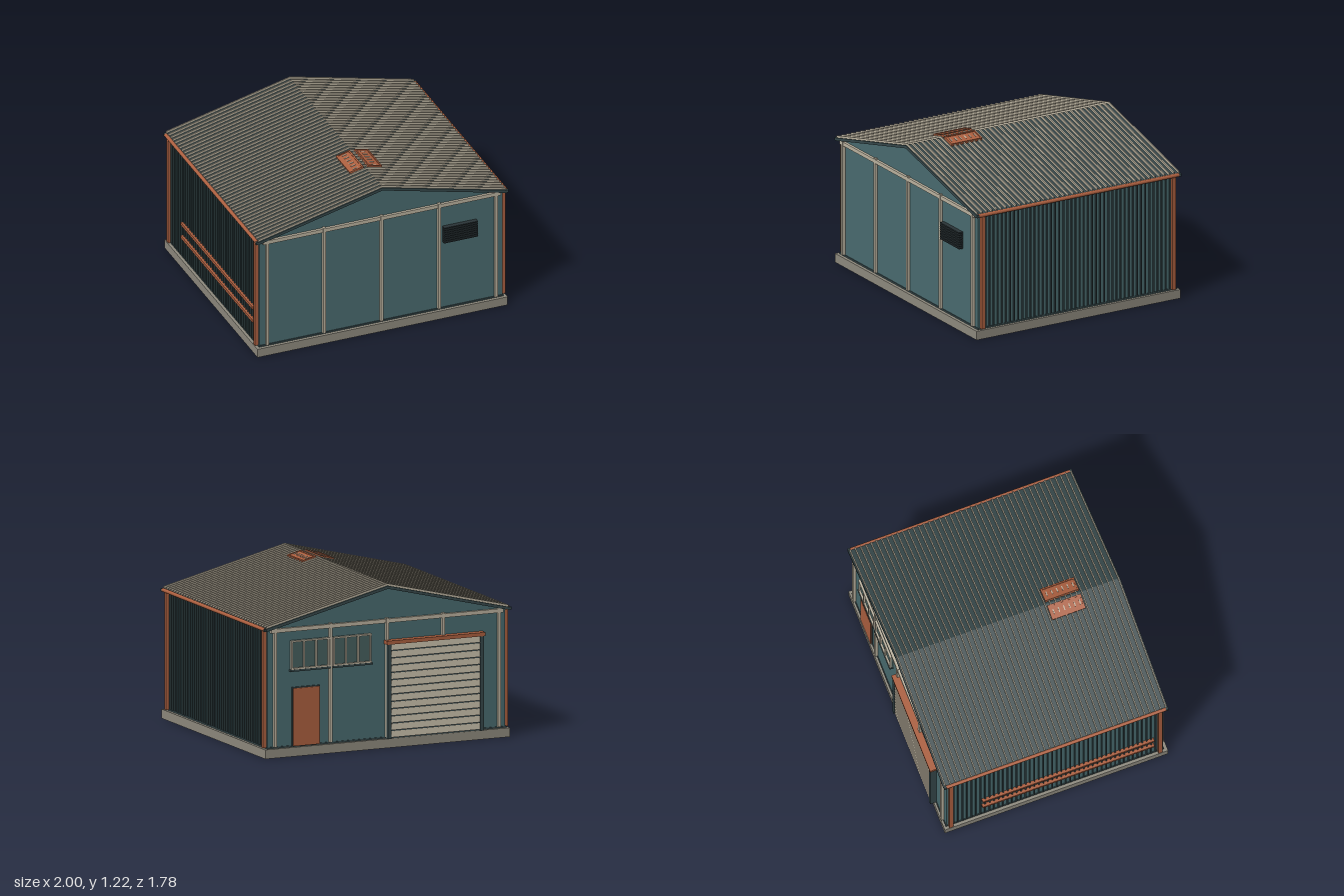
import * as THREE from 'three';

const paint = (name, color) => {
  const m = new THREE.MeshStandardMaterial({ color });
  m.name = name;
  return m;
};

export function createModel() {
  const teal = paint('teal cladding', 0x4a6c70);
  const dark = paint('dark slate', 0x36484b);
  const rust = paint('rust trim', 0xad6040);
  const beige = paint('beige steel', 0xbdb4a1);
  const concrete = paint('concrete', 0x8f8b7f);
  const black = paint('louvre charcoal', 0x2a3437);
  const glass = paint('window glass', 0x47605f);

  const model = new THREE.Group();
  model.name = 'warehouse';

  // Box given by its minimum and maximum on each axis
  const box = (name, mat, x0, x1, y0, y1, z0, z1, parent = model) => {
    const mesh = new THREE.Mesh(new THREE.BoxGeometry(x1 - x0, y1 - y0, z1 - z0), mat);
    mesh.position.set((x0 + x1) / 2, (y0 + y1) / 2, (z0 + z1) / 2);
    mesh.name = name;
    parent.add(mesh);
    return mesh;
  };
  const group = (name) => {
    const g = new THREE.Group();
    g.name = name;
    model.add(g);
    return g;
  };
  // Polygon in the xy plane, extruded from z0 to z1
  const prism = (name, mat, points, z0, z1, parent = model) => {
    const shape = new THREE.Shape(points.map(([x, y]) => new THREE.Vector2(x, y)));
    const geo = new THREE.ExtrudeGeometry(shape, { depth: z1 - z0, bevelEnabled: false });
    geo.translate(0, 0, z0);
    const mesh = new THREE.Mesh(geo, mat);
    mesh.name = name;
    parent.add(mesh);
    return mesh;
  };

  const APEX = 1.205, SLOPE = 0.244, EAVE = 0.985;
  const FRONT = 0.855, BACK = -0.835, SIDE = 0.962;
  const roofY = (x) => APEX - SLOPE * Math.abs(x);
  // Band following both roof slopes, between two offsets from the roof surface
  const chevron = (w, low, high) => [
    [-w, roofY(w) + low], [0, APEX + low], [w, roofY(w) + low],
    [w, roofY(w) + high], [0, APEX + high], [-w, roofY(w) + high],
  ];

  // Slab, base flashing and gabled body
  box('slab', concrete, -0.99, 0.99, 0, 0.068, -0.857, 0.885);
  box('baseFlashing', dark, -0.968, 0.968, 0.068, 0.08, BACK - 0.006, FRONT + 0.006);
  prism('body', teal, [
    [-SIDE, 0.068], [SIDE, 0.068], [SIDE, roofY(SIDE) - 0.01],
    [0, APEX - 0.01], [-SIDE, roofY(SIDE) - 0.01],
  ], BACK, FRONT);

  // Ribbed side cladding
  const cladding = group('sideCladding');
  for (const s of [-1, 1]) {
    for (let i = 0; i < 46; i++) {
      const z = -0.78 + i * 0.035;
      if (z > 0.8) break;
      const x0 = s > 0 ? SIDE : -SIDE - 0.01;
      box('claddingRib', dark, x0, x0 + 0.01, 0.08, 0.945, z - 0.005, z + 0.005, cladding);
    }
  }

  // Roof deck and standing ribs
  prism('roofDeck', dark, chevron(EAVE, -0.022, 0), -0.865, 0.885);
  const ribs = group('roofRibs');
  for (let i = 0; i < 43; i++) {
    const z = -0.85 + i * 0.041;
    prism('roofRib', beige, chevron(0.98, -0.002, 0.016), z - 0.0045, z + 0.0045, ribs);
  }

  // Gutters, end caps and downpipes
  for (const s of [-1, 1]) {
    const gutter = new THREE.Mesh(new THREE.CylinderGeometry(0.014, 0.014, 1.71, 12), rust);
    gutter.name = 'gutter';
    gutter.rotation.x = Math.PI / 2;
    gutter.position.set(s * 0.986, 0.956, 0.012);
    model.add(gutter);
    for (const z of [-0.853, 0.876]) {
      box('gutterCap', dark, s * 0.986 - 0.012, s * 0.986 + 0.012, 0.945, 0.966, z - 0.009, z + 0.009);
    }
    for (const z of [-0.805, 0.825]) {
      box('downpipe', rust, s * 0.977 - 0.013, s * 0.977 + 0.013, 0.075, 0.95, z - 0.015, z + 0.015);
    }
  }

  // Steel frame on both gable ends
  for (const [end, wall, out] of [['front', FRONT, 0.02], ['back', BACK, -0.02]]) {
    const z0 = Math.min(wall, wall + out), z1 = Math.max(wall, wall + out);
    const frame = group(end + 'Frame');
    box('eaveBeam', beige, -0.94, 0.94, 0.928, 0.957, z0, z1, frame);
    for (const x of [-0.905, -0.455, 0, 0.455, 0.905]) {
      box('post', beige, x - 0.011, x + 0.011, 0.08, 0.965, z0 - 0.002, z1 + 0.002, frame);
    }
  }

  // Front louvre vent
  const louvre = group('louvreVent');
  box('louvreBack', black, 0.488, 0.748, 0.632, 0.758, FRONT, FRONT + 0.006, louvre);
  for (let i = 0; i < 8; i++) {
    const y = 0.635 + i * 0.0172;
    box('louvreSlat', black, 0.485, 0.752, y - 0.004, y + 0.005, FRONT, 0.89, louvre);
  }

  // Ridge vents lying on each slope
  for (const s of [-1, 1]) {
    const vent = group(s > 0 ? 'leftRidgeVent' : 'rightRidgeVent');
    vent.position.set(s * 0.07, roofY(0.07) + 0.008, 0.44);
    vent.rotation.z = -s * Math.atan(SLOPE);
    box('ventPlate', rust, -0.054, 0.054, -0.008, 0.011, -0.13, 0.13, vent);
    for (const e of [-1, 1]) {
      box('ventLip', rust, e * 0.05 - 0.006, e * 0.05 + 0.006, 0, 0.016, -0.13, 0.13, vent);
      box('ventLip', rust, -0.055, 0.055, 0, 0.016, e * 0.126 - 0.005, e * 0.126 + 0.005, vent);
    }
    for (let i = 0; i < 6; i++) {
      const z = -0.1 + i * 0.041;
      box('ventSlot', beige, -0.018, 0.018, 0.008, 0.014, z - 0.004, z + 0.004, vent);
    }
  }

  // Back personnel door
  box('doorFrame', dark, 0.542, 0.768, 0.075, 0.512, BACK - 0.01, BACK);
  box('door', rust, 0.55, 0.76, 0.075, 0.504, BACK - 0.017, BACK);

  // Back windows with three panes each
  for (const x of [0.625, 0.285]) {
    const win = group('window');
    const w = 0.155, y0 = 0.645, y1 = 0.86, z0 = BACK - 0.026;
    box('pane', glass, x - w, x + w, y0, y1, BACK - 0.012, BACK, win);
    box('sill', dark, x - w - 0.006, x + w + 0.006, y0 - 0.014, y0, z0 - 0.004, BACK, win);
    for (const y of [y0 + 0.006, y1 - 0.006]) {
      box('rail', beige, x - w, x + w, y - 0.006, y + 0.006, z0, BACK, win);
    }
    for (let i = 0; i < 4; i++) {
      const mx = x - w + 0.006 + i * (2 * w - 0.012) / 3;
      box('mullion', beige, mx - 0.006, mx + 0.006, y0, y1, z0 + 0.001, BACK, win);
    }
  }

  // Back roller door with tilted slats
  const roller = group('rollerDoor');
  box('rollerBacking', dark, -0.75, 0, 0.07, 0.775, BACK - 0.027, BACK, roller);
  for (const x of [-0.752, -0.003]) {
    box('rollerJamb', dark, x - 0.013, x + 0.013, 0.07, 0.78, -0.885, BACK, roller);
  }
  const pitch = 0.7 / 13;
  for (let i = 0; i < 13; i++) {
    const y = 0.075 + (i + 0.5) * pitch;
    const slat = box('rollerSlat', beige, -0.74, -0.015, y - 0.023, y + 0.023, -0.875, -0.861, roller);
    slat.rotation.x = 0.15;
  }
  box('rollerLintel', rust, -0.775, 0.02, 0.772, 0.8, -0.89, BACK, roller);

  // Guard rails along the right wall
  for (const y of [0.25, 0.36]) {
    box('guardRail', rust, -0.988, -SIDE, y - 0.011, y + 0.011, -0.56, 0.78);
  }

  return model;
}
